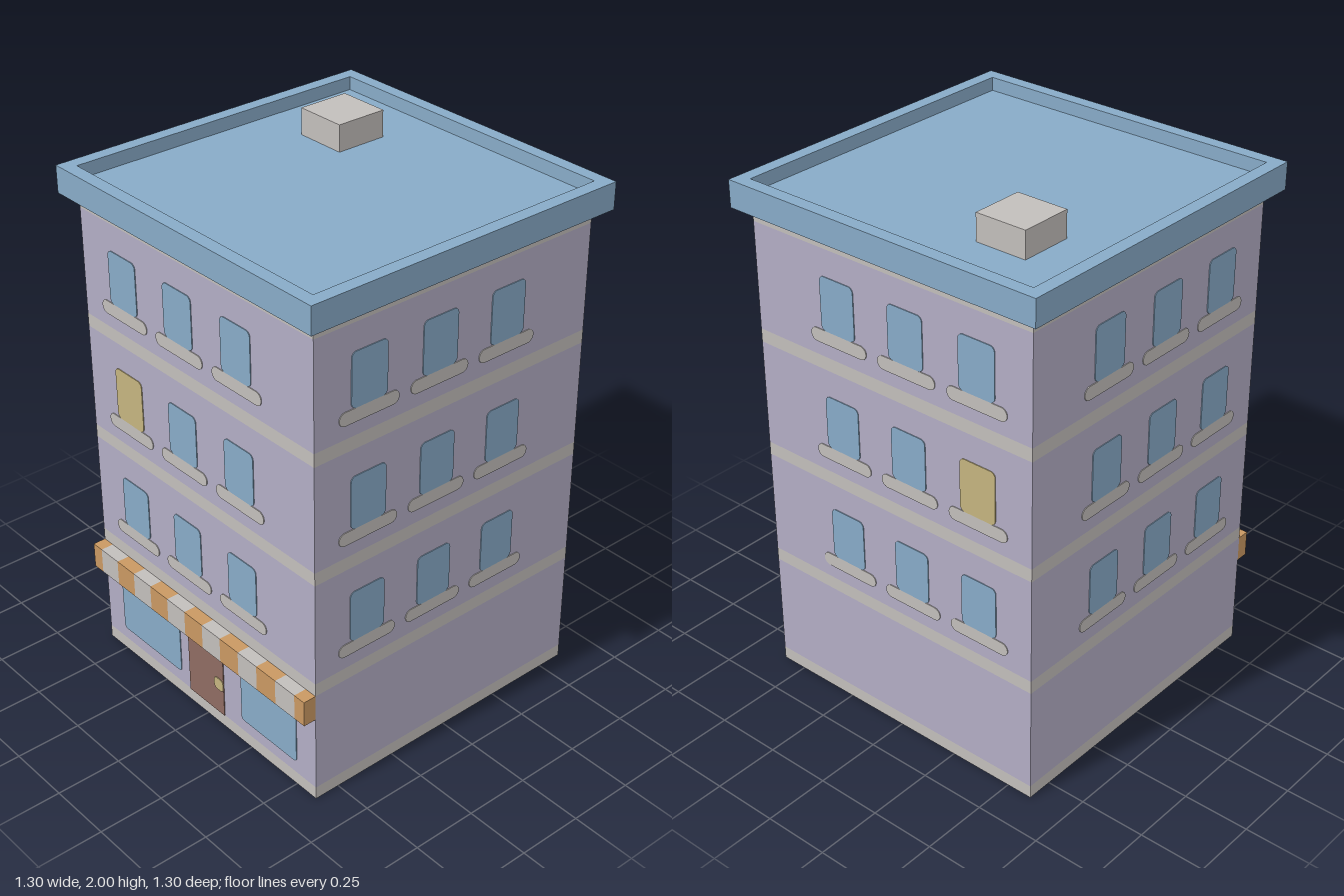
import * as THREE from 'three';

const material = (name, color) => {
  const m = new THREE.MeshStandardMaterial({ color });
  m.name = name;
  return m;
};

export function createModel() {
  const lilac = material('lilac wall', 0xb2adc4);
  const stone = material('pale stone', 0xc2bebb);
  const blue = material('blue roof and glass', 0x87aac7);
  const orange = material('awning orange', 0xc99862);
  const brown = material('door brown', 0x8f6c62);
  const yellow = material('lamp yellow', 0xc4b47f);

  const building = new THREE.Group();
  building.name = 'building';

  // Box given by its lower and upper corners
  function box(name, mat, [x0, y0, z0], [x1, y1, z1], parent = building) {
    const mesh = new THREE.Mesh(new THREE.BoxGeometry(x1 - x0, y1 - y0, z1 - z0), mat);
    mesh.position.set((x0 + x1) / 2, (y0 + y1) / 2, (z0 + z1) / 2);
    mesh.name = name;
    parent.add(mesh);
    return mesh;
  }

  // Thin plate with rounded corners lying on a facade
  function plate(name, mat, cx, y0, w, h, r, parent, lift = 0) {
    const x0 = cx - w / 2, x1 = cx + w / 2, y1 = y0 + h;
    const s = new THREE.Shape();
    s.moveTo(x0 + r, y0);
    s.lineTo(x1 - r, y0);
    s.absarc(x1 - r, y0 + r, r, -Math.PI / 2, 0);
    s.absarc(x1 - r, y1 - r, r, 0, Math.PI / 2);
    s.absarc(x0 + r, y1 - r, r, Math.PI / 2, Math.PI);
    s.absarc(x0 + r, y0 + r, r, Math.PI, Math.PI * 1.5);
    const geo = new THREE.ExtrudeGeometry(s, { depth: 0.003, bevelEnabled: false, curveSegments: 5 });
    const mesh = new THREE.Mesh(geo, mat);
    mesh.position.z = 0.6 + lift;
    mesh.name = name;
    parent.add(mesh);
  }

  // Walls and flush stone bands, stacked floor by floor
  const bands = [0, 0.45, 0.9, 1.35, 1.8];
  bands.forEach((y, i) => {
    box('stoneBand', stone, [-0.6, y, -0.6], [0.6, y + 0.05, 0.6]);
    if (i < 4) box('wall', lilac, [-0.6, y + 0.05, -0.6], [0.6, bands[i + 1], 0.6]);
  });

  // Windows and sills on all four sides; back and left mirror their opposites
  const facades = [
    { name: 'frontFacade', turn: 0, side: 1, lamp: true },
    { name: 'rightFacade', turn: Math.PI / 2, side: 1 },
    { name: 'backFacade', turn: Math.PI, side: -1, lamp: true },
    { name: 'leftFacade', turn: -Math.PI / 2, side: -1 },
  ];
  for (const { name, turn, side, lamp } of facades) {
    const facade = new THREE.Group();
    facade.name = name;
    facade.rotation.y = turn;
    building.add(facade);
    [0.6, 1.05, 1.5].forEach((y, row) => {
      [-0.375, -0.075, 0.225].forEach((x, col) => {
        const lit = lamp && row === 1 && col === 0;
        plate(lit ? 'litWindow' : 'window', lit ? yellow : blue, side * x, y, 0.15, 0.2, 0.02, facade);
        plate('windowSill', stone, side * x, y - 0.05, 0.25, 0.05, 0.0249, facade);
      });
    });
  }

  // Shop front
  const shop = new THREE.Group();
  shop.name = 'shopFront';
  building.add(shop);
  plate('shopWindowLarge', blue, -0.325, 0.1, 0.35, 0.25, 0.015, shop);
  plate('shopWindowSmall', blue, 0.35, 0.1, 0.3, 0.25, 0.015, shop);
  plate('door', brown, 0, 0.05, 0.2, 0.3, 0.001, shop);
  plate('doorHandle', yellow, 0.075, 0.155, 0.05, 0.05, 0.015, shop, 0.003);

  // Striped awning, starting and ending with a half stripe
  const awning = new THREE.Group();
  awning.name = 'awning';
  building.add(awning);
  for (let i = 0; i < 13; i++) {
    const x = -0.6 + i * 0.1;
    box('awningStripe', i % 2 ? stone : orange,
      [Math.max(x - 0.05, -0.6), 0.35, 0.6], [Math.min(x + 0.05, 0.6), 0.45, 0.65], awning);
  }

  // Roof: raised rim around a lower slab
  const square = (C, r) => new C([[-r, -r], [r, -r], [r, r], [-r, r]].map(p => new THREE.Vector2(...p)));
  const rimShape = square(THREE.Shape, 0.65);
  rimShape.holes.push(square(THREE.Path, 0.6));
  const rimGeo = new THREE.ExtrudeGeometry(rimShape, { depth: 0.1, bevelEnabled: false });
  rimGeo.rotateX(-Math.PI / 2);
  const rim = new THREE.Mesh(rimGeo, blue);
  rim.position.y = 1.85;
  rim.name = 'roofRim';
  building.add(rim);
  box('roofSlab', blue, [-0.6, 1.85, -0.6], [0.6, 1.9, 0.6]);
  box('roofVent', stone, [-0.4, 1.9, -0.4], [-0.2, 2, -0.2]);

  return building;
}
